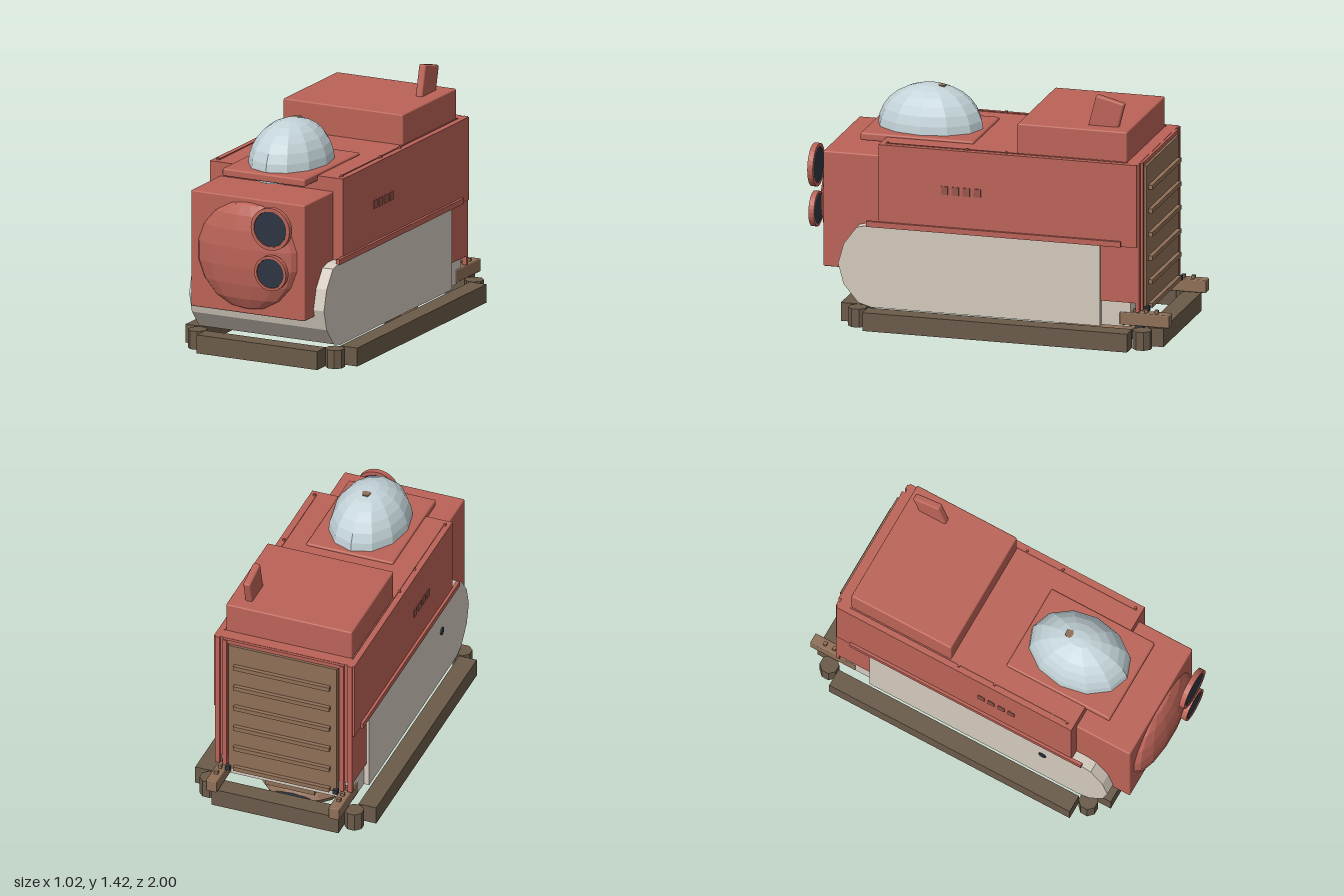
import * as THREE from 'three';
import { RoundedBoxGeometry } from 'three/addons/geometries/RoundedBoxGeometry.js';

const mat = (name, color) => {
  const m = new THREE.MeshStandardMaterial({ color });
  m.name = name;
  return m;
};

export function createModel() {
  const root = new THREE.Group();
  const red = mat('hull red', 0xbb6357), ventRed = mat('vent red', 0x96564c);
  const cream = mat('cream', 0xd3c9bd), tan = mat('tan', 0x8f6f57);
  const brown = mat('skirt brown', 0x6a5a49), glass = mat('pale glass', 0xc3d3d8);
  const dark = mat('dark lens', 0x2d3541);

  const add = (name, geo, m) => {
    const mesh = new THREE.Mesh(geo, m);
    mesh.name = name;
    root.add(mesh);
    return mesh;
  };
  // Box given by its limits on each axis, with optional rounded edges
  const box = (name, m, x0, x1, y0, y1, z0, z1, r = 0) => {
    const s = [x1 - x0, y1 - y0, z1 - z0];
    const geo = r ? new RoundedBoxGeometry(...s, 2, r) : new THREE.BoxGeometry(...s);
    geo.translate((x0 + x1) / 2, (y0 + y1) / 2, (z0 + z1) / 2);
    return add(name, geo, m);
  };
  // The same box on both sides
  const pair = (name, m, x0, x1, ...rest) => {
    box(name + 'Left', m, x0, x1, ...rest);
    box(name + 'Right', m, -x1, -x0, ...rest);
  };
  const faceted = (geo) => {
    const g = geo.toNonIndexed();
    g.computeVertexNormals();
    return g;
  };
  const ball = (name, m, seg, rings, scale, pos, theta = Math.PI) => {
    const g = new THREE.SphereGeometry(1, seg, rings, 0, Math.PI * 2, 0, theta);
    g.scale(...scale).translate(...pos);
    return add(name, faceted(g), m);
  };

  // Lower hull with a rounded nose, profile in z and y
  const profile = [[-0.63, 0.205], [0.62, 0.205], [0.69, 0.225], [0.77, 0.32], [0.8, 0.43],
    [0.77, 0.54], [0.7, 0.635], [0.64, 0.65], [-0.63, 0.65]];
  const lower = new THREE.ExtrudeGeometry(
    new THREE.Shape(profile.map((p) => new THREE.Vector2(...p))), { depth: 0.8, bevelEnabled: false });
  lower.rotateY(-Math.PI / 2).translate(0.4, 0, 0);
  add('lowerHull', lower, cream);
  box('rearBase', cream, -0.37, 0.37, 0.205, 0.345, -0.79, -0.62);

  // Upper hull, rear end and side trim
  box('upperHull', red, -0.395, 0.395, 0.645, 1.095, -0.83, 0.58);
  box('rearHull', red, -0.385, 0.385, 0.34, 0.65, -0.83, -0.62);
  pair('sideTrim', red, 0.39, 0.41, 0.645, 0.675, -0.745, 0.645);
  pair('roofSeam', red, 0.357, 0.363, 1.09, 1.099, -0.77, 0.55);
  for (const z of [-0.11, 0.105, 0.54]) pair('roofBolt', red, 0.362, 0.374, 1.09, 1.106, z - 0.006, z + 0.006);
  for (let i = 0; i < 4; i++) {
    const z = 0.22 - i * 0.06;
    pair('vent', ventRed, 0.393, 0.4, 0.852, 0.896, z - 0.019, z + 0.019);
  }

  // Roof housing and leaning fin
  box('roofHousing', red, -0.355, 0.355, 1.08, 1.26, -0.765, -0.165, 0.008);
  const fin = add('roofFin', new RoundedBoxGeometry(0.04, 0.26, 0.16, 2, 0.01), red);
  fin.position.set(0.255, 1.28, -0.617);
  fin.rotation.x = -0.25;

  // Observation dome on its plate
  box('domePlate', red, -0.245, 0.245, 1.065, 1.108, 0.105, 0.725, 0.01);
  ball('dome', glass, 12, 8, [0.21, 0.238, 0.287], [0, 1.098, 0.41], Math.PI * 0.57).rotation.y = 0;
  const base = new THREE.CircleGeometry(1, 12).rotateX(Math.PI / 2);
  base.scale(0.205, 1, 0.28).translate(0, 1.047, 0.41);
  add('domeFloor', base, glass);
  const cap = add('domeCap', new THREE.CylinderGeometry(0.026, 0.026, 0.03, 5), tan);
  cap.position.set(0, 1.317, 0.35);

  // Front hood, bulging nose and two lamps
  box('hood', red, -0.338, 0.338, 0.39, 1.02, 0.5, 0.9, 0.008);
  ball('nose', red, 14, 9, [0.305, 0.295, 0.085], [0, 0.707, 0.89]);
  for (const [y, r, inner] of [[0.895, 0.115, 0.096], [0.655, 0.094, 0.08]]) {
    const ring = new THREE.Shape().absarc(0, 0, r, 0, Math.PI * 2);
    ring.holes.push(new THREE.Path().absarc(0, 0, inner, 0, Math.PI * 2, true));
    const rim = new THREE.ExtrudeGeometry(ring, { depth: 0.03, bevelEnabled: false, curveSegments: 14 });
    add('lampRim', rim, red).position.set(0.185, y, 0.968);
    const lens = new THREE.CylinderGeometry(inner, inner, 0.025, 14).rotateX(Math.PI / 2);
    add('lampLens', lens, dark).position.set(0.185, y, 0.981);
  }

  // Rear ramp with ribs, framed by posts
  box('rearRamp', tan, -0.305, 0.305, 0.285, 1.07, -0.857, -0.825);
  for (let i = 0; i < 6; i++) {
    const y = 0.945 - i * 0.129;
    box('rampRib', tan, -0.27, 0.27, y - 0.012, y + 0.012, -0.879, -0.85);
  }
  pair('innerPost', red, 0.318, 0.34, 0.29, 1.09, -0.848, -0.82);
  pair('outerPost', red, 0.36, 0.385, 0.29, 1.095, -0.84, -0.82);
  box('rampLintel', red, -0.34, 0.34, 1.072, 1.093, -0.845, -0.82);
  pair('hinge', dark, 0.29, 0.315, 0.28, 0.305, -0.875, -0.85);

  // Rear arms with bolts
  pair('rearArm', tan, 0.315, 0.375, 0.213, 0.283, -1, -0.73, 0.005);
  for (const z of [-0.77, -0.81, -0.87, -0.925]) pair('armBolt', tan, 0.335, 0.355, 0.27, 0.3, z - 0.009, z + 0.009);

  // Skirt around the base with eight-sided corners
  pair('skirtSide', brown, 0.41, 0.51, 0.105, 0.205, -0.81, 0.635);
  box('skirtFront', brown, -0.358, 0.358, 0.105, 0.205, 0.697, 0.797);
  box('skirtBack', brown, -0.358, 0.358, 0.105, 0.205, -0.965, -0.865);
  for (const x of [-0.408, 0.408]) for (const z of [-0.865, 0.69]) {
    const post = faceted(new THREE.CylinderGeometry(0.052, 0.052, 0.1, 8).rotateY(Math.PI / 8));
    add('skirtCorner', post, brown).position.set(x, 0.155, z);
  }

  // Underside keel, pod and its dark nozzle
  box('keel', tan, -0.14, 0.14, 0.15, 0.21, -0.75, 0.36);
  box('podMount', tan, -0.05, 0.05, 0.085, 0.16, -0.7, -0.305);
  ball('pod', tan, 14, 8, [0.225, 0.075, 0.182], [0, 0.079, -0.55]);
  const nozzle = new THREE.CylinderGeometry(1, 0.85, 0.08, 12).rotateX(-Math.PI / 2);
  nozzle.scale(0.12, 0.037, 1);
  add('nozzle', nozzle, dark).position.set(0, 0.072, -0.72);

  // Small port on the right side
  const port = new THREE.CylinderGeometry(0.022, 0.022, 0.012, 8).rotateZ(Math.PI / 2);
  add('sidePort', port, dark).position.set(-0.4, 0.51, 0.41);
  return root;
}
